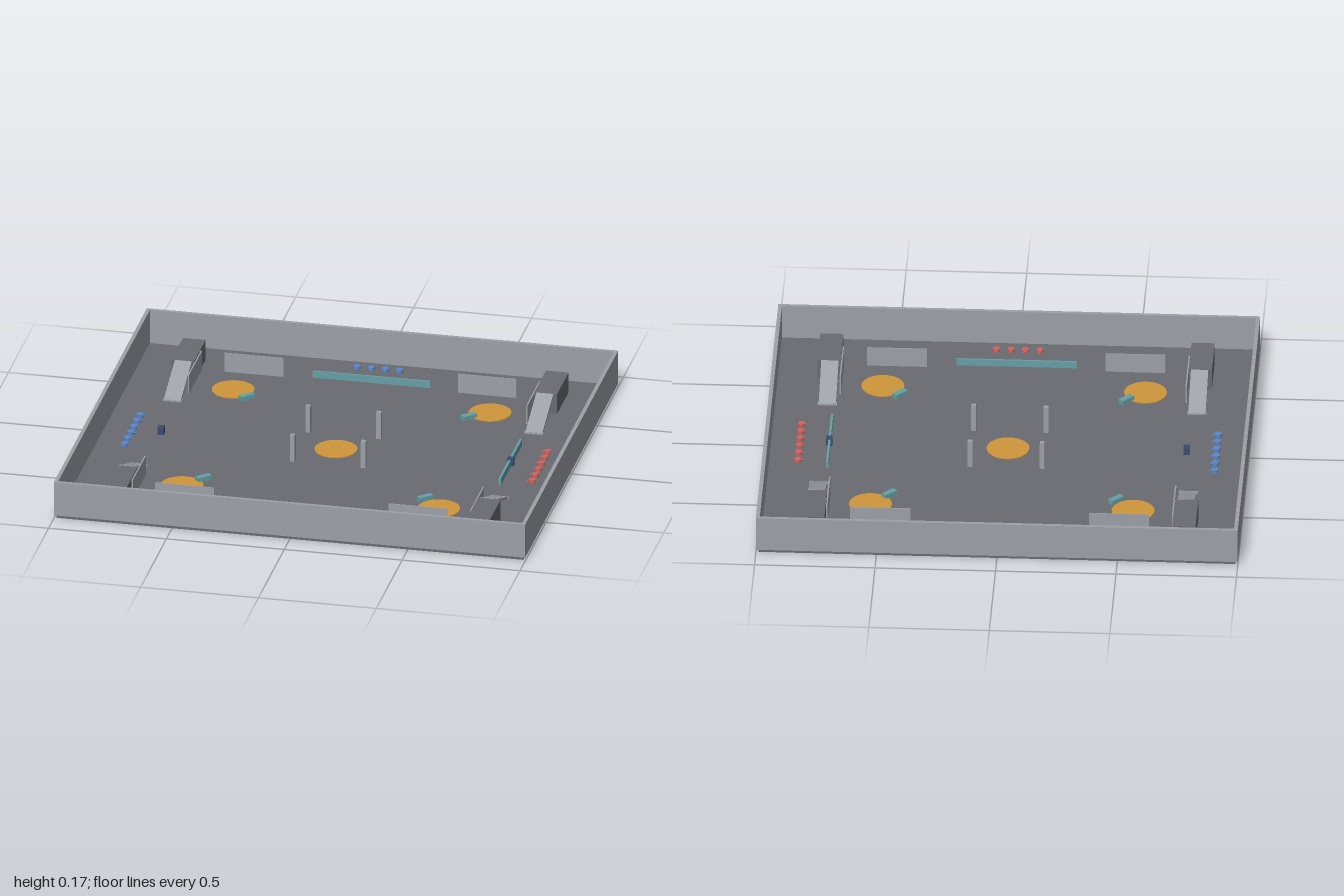
import * as THREE from 'three';

const mat = (name, color) => {
  const m = new THREE.MeshStandardMaterial({ color });
  m.name = name;
  return m;
};

export function createModel() {
  const root = new THREE.Group();
  root.name = 'arena';
  const grey = mat('wall grey', 0x9ca1a8);
  const dark = mat('floor grey', 0x6a6b71);
  const amber = mat('amber', 0xd0963a);
  const teal = mat('teal', 0x66a0a6);
  const navy = mat('navy', 0x3a4c70);
  const red = mat('red', 0xd0645e);
  const blue = mat('blue', 0x5a88cc);
  const FLOOR = 0.015;

  const add = (name, geo, material, x, y, z, parent = root) => {
    const m = new THREE.Mesh(geo, material);
    m.name = name;
    m.position.set(x, y, z);
    parent.add(m);
    return m;
  };
  // Box standing on the floor
  const block = (name, material, w, h, d, x, z) =>
    add(name, new THREE.BoxGeometry(w, h, d), material, x, FLOOR + h / 2, z);

  // Floor slab and surrounding walls
  add('floor', new THREE.BoxGeometry(1.98, FLOOR, 1.78), dark, 0, FLOOR / 2, 0);
  for (const s of [-1, 1]) {
    block('endWall', grey, 2, 0.15, 0.016, 0, s * 0.892);
    block('sideWall', grey, 0.016, 0.15, 1.768, s * 0.992, 0);
  }

  // Floor discs
  const disc = new THREE.CylinderGeometry(0.089, 0.089, 0.004, 40);
  add('centreDisc', disc, amber, 0, FLOOR + 0.002, 0);

  for (const sx of [-1, 1]) for (const sz of [-1, 1]) {
    add('cornerDisc', disc, amber, sx * 0.545, FLOOR + 0.002, sz * 0.496);
    // Slanted marker beside each disc
    block('marker', teal, 0.065, 0.02, 0.026, sx * 0.47, sz * 0.42).rotation.y = Math.PI / 4;
    // Centre posts
    block('post', grey, 0.02, 0.12, 0.02, sx * 0.15, sz * 0.15);

    // Raised platform with a sloping ramp and foot
    block('platform', dark, 0.096, 0.09, 0.225, sx * 0.77, sz * 0.657);
    const run = 0.215, rise = 0.084;
    const ramp = add('ramp', new THREE.BoxGeometry(0.072, 0.01, Math.hypot(run, rise)), grey,
      sx * 0.767, FLOOR + 0.044, sz * 0.438);
    ramp.rotation.x = -sz * Math.atan2(rise, run);
    block('rampFoot', grey, 0.08, 0.006, 0.02, sx * 0.767, sz * 0.334);

    // Thin upright panels
    block('sidePanel', grey, 0.006, 0.085, 0.25, sx * 0.718, sz * 0.545);
    block('endPanel', grey, 0.25, 0.085, 0.004, sx * 0.495, sz * 0.67);
  }

  // Low barriers
  for (const s of [-1, 1]) {
    block('endBarrier', teal, 0.5, 0.03, 0.008, 0, s * 0.692);
    block('smallBox', navy, 0.026, 0.034, 0.026, s * 0.742, 0);
  }
  block('sideBarrier', teal, 0.01, 0.03, 0.41, 0.74, 0);

  // Small tokens with a nose pointing to the middle
  const body = new THREE.CylinderGeometry(0.015, 0.015, 0.014, 16);
  const nose = new THREE.ConeGeometry(0.007, 0.016, 8).rotateZ(-Math.PI / 2);
  const token = (material, x, z, turn) => {
    const g = new THREE.Group();
    g.name = 'token';
    g.position.set(x, FLOOR + 0.007, z);
    g.rotation.y = turn;
    add('tokenBody', body, material, 0, 0, 0, g);
    add('tokenNose', nose, material, 0.018, 0, 0, g);
    root.add(g);
  };
  for (let i = 0; i < 6; i++) {
    const z = -0.15 + i * 0.06;
    token(blue, -0.865, z, 0);
    token(red, 0.865, z, Math.PI);
  }
  for (let i = 0; i < 4; i++) {
    const x = -0.09 + i * 0.06;
    token(blue, x, -0.817, -Math.PI / 2);
    token(red, x, 0.817, Math.PI / 2);
  }
  return root;
}
